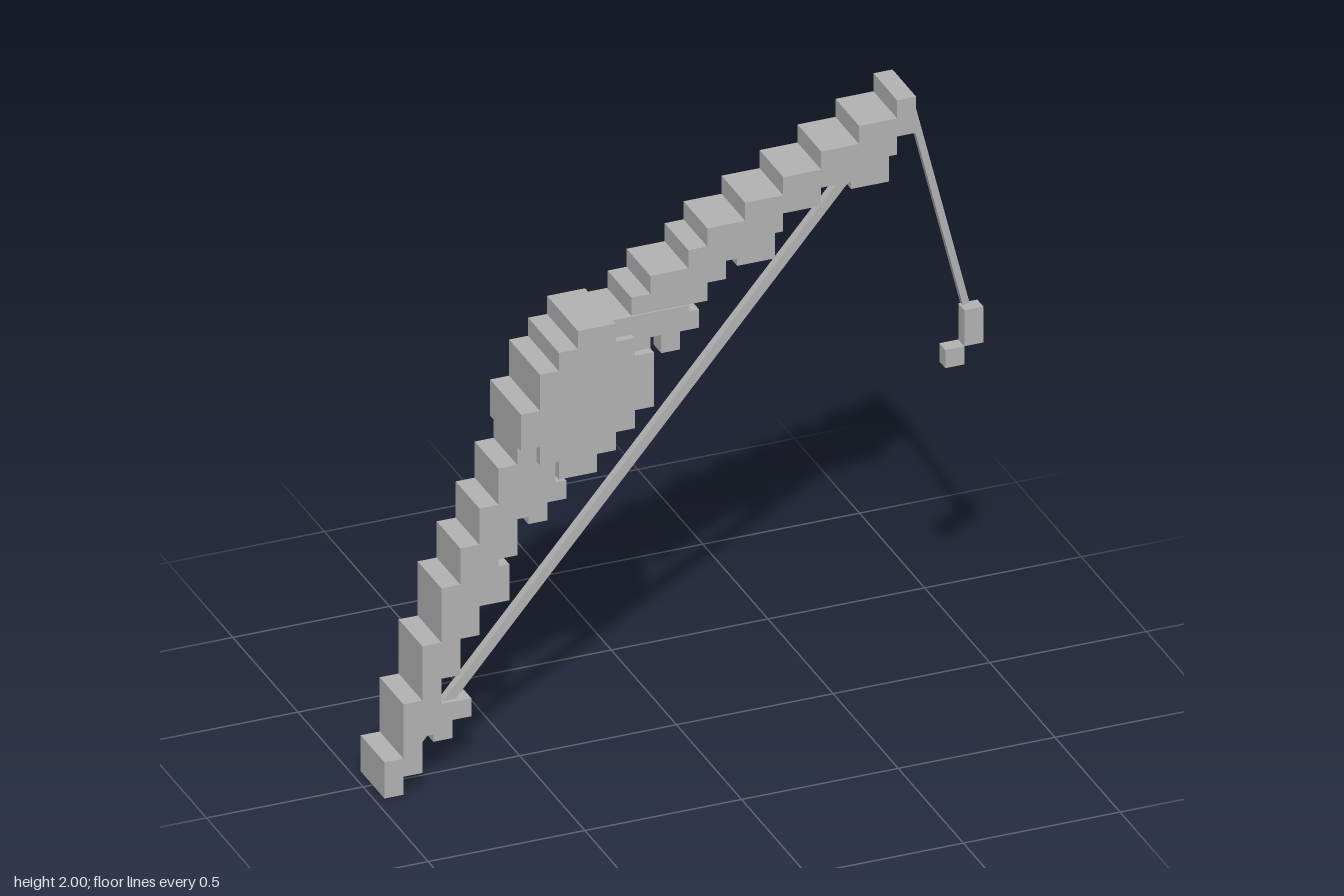
import * as THREE from 'three';

const U = 2 / 33; // one block
const X0 = -16 * U; // left end of the block grid

export function createModel() {
  const grey = new THREE.MeshStandardMaterial({ color: 0xb3b3b3 });
  grey.name = 'grey';
  const model = new THREE.Group();
  model.name = 'rod';

  function add(name, geometry) {
    const mesh = new THREE.Mesh(geometry, grey);
    mesh.name = name;
    model.add(mesh);
    return mesh;
  }

  // Stepped solid: each column is [bottom, top] in blocks, one block wide
  function stepped(name, start, columns, halfDepth) {
    const upper = [], lower = [];
    columns.forEach(([bottom, top], i) => {
      for (const c of [start + i, start + i + 1]) {
        upper.push(new THREE.Vector2(X0 + c * U, top * U));
        lower.push(new THREE.Vector2(X0 + c * U, bottom * U));
      }
    });
    const outline = [...lower, ...upper.reverse()]
      .filter((p, i, a) => i === 0 || p.distanceTo(a[i - 1]) > 1e-6);
    const geometry = new THREE.ExtrudeGeometry(new THREE.Shape(outline), { depth: halfDepth * 2, bevelEnabled: false });
    geometry.translate(0, 0, -halfDepth);
    return add(name, geometry);
  }

  // Thin square bar between two points in the middle plane
  function bar(name, x1, y1, x2, y2, thick, depth) {
    const mesh = add(name, new THREE.BoxGeometry(Math.hypot(x2 - x1, y2 - y1), thick, depth));
    mesh.position.set((x1 + x2) / 2, (y1 + y2) / 2, 0);
    mesh.rotation.z = Math.atan2(y2 - y1, x2 - x1);
  }

  // Curved arm
  stepped('arm', 0, [
    [0, 2], [1, 5], [3, 8], [6, 11], [8, 13], [10, 15], [12, 17],
    [14, 18], [15, 20], [17, 22], [18, 23], [20, 24], [21, 24], [22, 25],
    [23, 26], [23, 26], [24, 27], [25, 28], [26, 28], [27, 29], [27, 29],
    [28, 30], [28, 30], [29, 31], [29, 31], [30, 32], [30, 32], [31, 33],
  ], 1.5 * U);

  // Thick middle
  stepped('grip', 7, [
    [18, 20], [17, 22], [16, 23], [16, 24], [17, 24], [18, 23], [19, 22],
  ], 2 * U - 0.003);

  // Thin strip along the arm beside the grip
  stepped('gripStrip', 12, [[23, 24], [23, 24], [23, 24], [23, 24]], 1.5 * U + 0.005);

  // Small pegs on the inner side of the arm
  const pegs = [
    [3, [[2, 4], [3, 4]]],
    [5, [[9, 11], [9, 11]]],
    [8, [[13, 15], [14, 15]]],
    [13, [[22, 23], [22, 23], [21, 23], [22, 23]]],
    [19, [[25, 27], [25, 27]]],
    [25, [[28, 30], [28, 30]]],
  ];
  pegs.forEach(([start, columns], i) => stepped('peg' + (i + 1), start, columns, 0.029));

  // Long string, hanging line and its hook
  bar('string', -0.92, 0.02, 0.73, 1.955, 0.03, 0.028);
  bar('hangingLine', 0.735, 1.97, 0.92, 1.225, 0.022, 0.022);
  stepped('hookShank', 31, [[18, 20]], 0.023);
  stepped('hookTip', 30, [[17, 18]], 0.023);

  return model;
}
